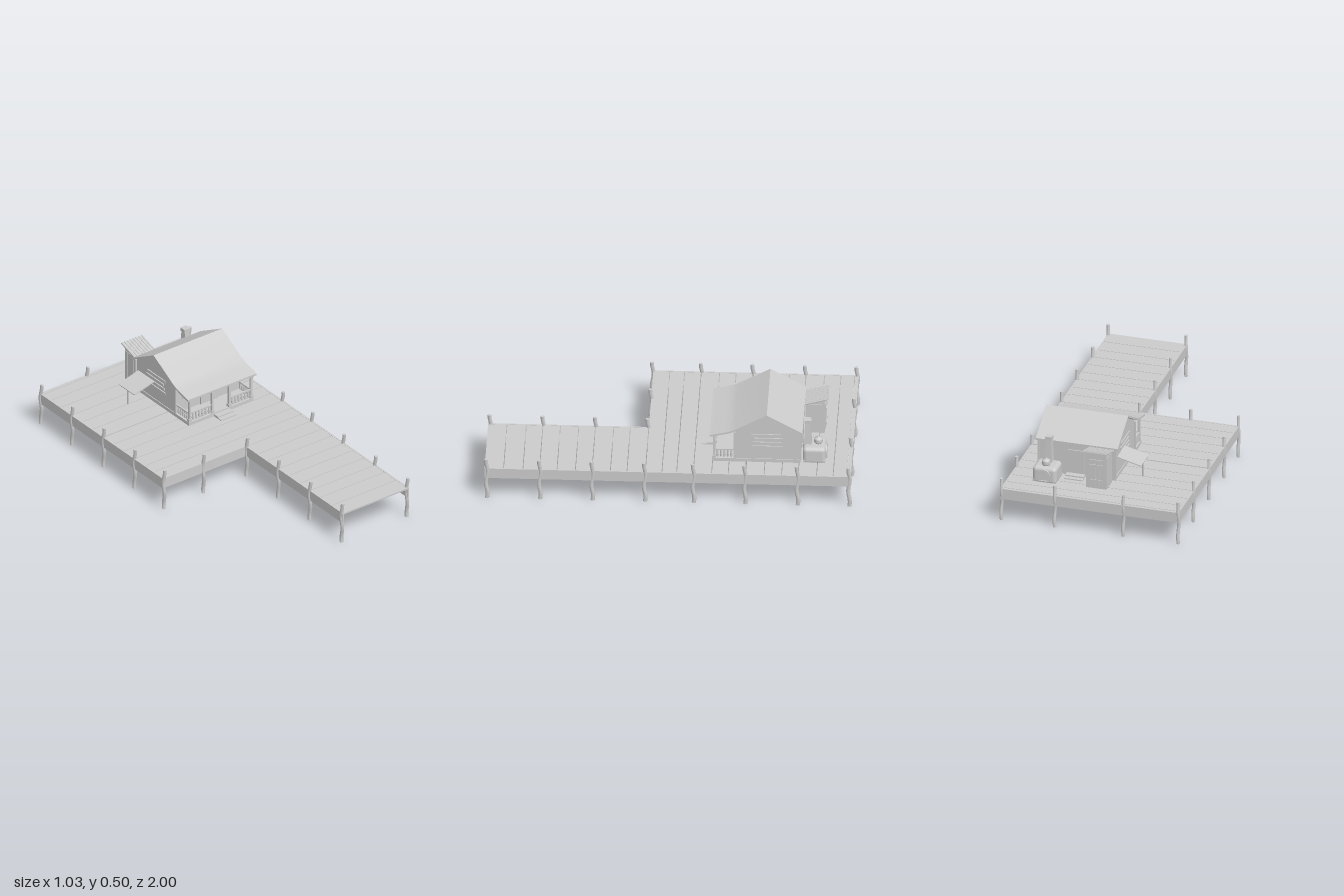
import * as THREE from 'three';
import { toCreasedNormals } from 'three/addons/utils/BufferGeometryUtils.js';
import { RoundedBoxGeometry } from 'three/addons/geometries/RoundedBoxGeometry.js';

const grey = new THREE.MeshStandardMaterial({ color: 0xcccccc, side: THREE.DoubleSide });
const DECK = 0.187;

function add(parent, name, geometry, x = 0, y = 0, z = 0) {
  const mesh = new THREE.Mesh(geometry, grey);
  mesh.name = name;
  mesh.position.set(x, y, z);
  parent.add(mesh);
  return mesh;
}

// Box given by its extents on each axis
function box(parent, name, x0, x1, y0, y1, z0, z1) {
  return add(parent, name, new THREE.BoxGeometry(x1 - x0, y1 - y0, z1 - z0),
    (x0 + x1) / 2, (y0 + y1) / 2, (z0 + z1) / 2);
}

// Extrude a [z, y] side profile from x0 to x1
function extrudeX(parent, name, profile, x0, x1) {
  const shape = new THREE.Shape(profile.map(([z, y]) => new THREE.Vector2(-z, y)));
  const g = new THREE.ExtrudeGeometry(shape, { depth: x1 - x0, bevelEnabled: false });
  g.rotateY(Math.PI / 2);
  return add(parent, name, toCreasedNormals(g, 0.45), x0, 0, 0);
}

function group(parent, name) {
  const g = new THREE.Group();
  g.name = name;
  parent.add(g);
  return g;
}

// Crooked mooring post: a cylinder bent along its height
function pileGeometry() {
  const g = new THREE.CylinderGeometry(0.009, 0.01, 0.245, 8, 10);
  g.translate(0, 0.1225, 0);
  const p = g.attributes.position;
  for (let i = 0; i < p.count; i++) {
    const t = p.getY(i) / 0.245;
    p.setX(i, p.getX(i) + 0.002 * Math.sin(t * 8));
    p.setZ(i, p.getZ(i) * 1.15 + 0.005 * Math.sin(t * 11 + 3.5));
  }
  g.computeVertexNormals();
  return g;
}

function buildDock(root) {
  const dock = group(root, 'dock');
  // Planks with narrow gaps; one wider gap on the main platform
  const planks = (x0, x1, edges) => {
    for (let i = 0; i < edges.length - 1; i++) {
      const gap = Math.abs(edges[i] + 0.425) < 0.001 ? 0.008 : 0.004;
      box(dock, 'plank', x0, x1, DECK - 0.009, DECK, edges[i] + gap, edges[i + 1]);
    }
  };
  planks(-0.5, 0.5, [-0.995, -0.975, -0.9, -0.81, -0.71, -0.62, -0.525, -0.425, -0.33, -0.24, -0.14, -0.05, 0.03, 0.12]);
  planks(0.06, 0.5, [0.12, 0.22, 0.31, 0.41, 0.5, 0.6, 0.695, 0.785, 0.89, 0.995]);
  // Skirt boards hang below every edge but the pier end
  const skirt = (x0, x1, z0, z1) => box(dock, 'skirtBoard', x0, x1, 0.127, DECK + 0.001, z0, z1);
  skirt(-0.507, 0.507, -0.995, -0.985);
  skirt(-0.507, -0.497, -0.995, 0.122);
  skirt(0.497, 0.507, -0.995, 0.995);
  skirt(-0.507, 0.066, 0.112, 0.122);
  skirt(0.056, 0.066, 0.112, 0.995);
  // Posts around the outline
  const geo = pileGeometry();
  const rows = [-0.985, -0.705, -0.42, -0.14, 0.125, 0.41, 0.695, 0.983];
  const spots = rows.map(z => [0.502, z]);
  rows.slice(0, 5).forEach(z => spots.push([-0.502, z]));
  rows.slice(4).forEach(z => spots.push([0.06, z]));
  spots.push([-0.19, -0.985], [0.2, -0.985], [-0.232, 0.122]);
  spots.forEach(([x, z]) => add(dock, 'dockPost', geo, x, 0, z));
}

function buildHouse(root) {
  const house = group(root, 'house');
  const L = -0.062, R = 0.375, front = -0.357, back = -0.716, floor = 0.207;
  box(house, 'floor', L, R, DECK, floor, back, -0.235);
  extrudeX(house, 'walls', [[front, floor - 0.01], [front, 0.385], [-0.533, 0.485], [back, 0.381], [back, floor - 0.01]], L + 0.004, R - 0.004);
  // Roof bends to a flatter slope over the porch
  const top = [[-0.223, 0.362], [-0.26, 0.37], [-0.3, 0.379], [-0.33, 0.387], [-0.357, 0.398], [-0.533, 0.497], [-0.727, 0.386]];
  extrudeX(house, 'roof', [...top, ...top.slice().reverse().map(([z, y]) => [z, y - 0.011])], -0.078, 0.388);

  // Porch posts, beam and railings
  [-0.05, 0.102, 0.219, 0.366].forEach(x => {
    box(house, 'porchPost', x - 0.006, x + 0.006, floor, 0.358, -0.251, -0.239);
    box(house, 'postFoot', x - 0.01, x + 0.01, floor, floor + 0.016, -0.255, -0.236);
    box(house, 'postCap', x - 0.009, x + 0.009, 0.344, 0.354, -0.254, -0.236);
  });
  box(house, 'porchBeam', L, R, 0.35, 0.359, -0.251, -0.239);
  const baluster = new THREE.LatheGeometry([[0.004, 0], [0.007, 0.012], [0.004, 0.025], [0.006, 0.036], [0.004, 0.045]]
    .map(([r, y]) => new THREE.Vector2(r, y)), 8);
  [[-0.05, 0.102], [0.219, 0.366]].forEach(([a, b]) => {
    box(house, 'handRail', a, b, 0.255, 0.262, -0.249, -0.241);
    box(house, 'footRail', a, b, 0.211, 0.216, -0.248, -0.242);
    for (let i = 1; i < 7; i++) add(house, 'baluster', baluster, a + (b - a) * i / 7, 0.212, -0.245);
  });
  [L + 0.01, R - 0.01].forEach(x => {
    box(house, 'sideRail', x - 0.004, x + 0.004, 0.255, 0.262, front, -0.245);
    for (let i = 1; i < 6; i++) add(house, 'baluster', baluster, x, 0.212, -0.245 - i * 0.019);
  });

  // Door and corner trim
  box(house, 'door', 0.112, 0.208, floor, 0.35, front, front + 0.006);
  [[0.104, 0.112], [0.208, 0.216]].forEach(([a, b]) => box(house, 'doorFrame', a, b, floor, 0.357, front, front + 0.009));
  box(house, 'doorLintel', 0.104, 0.216, 0.35, 0.358, front, front + 0.009);
  add(house, 'doorKnob', new THREE.SphereGeometry(0.005, 10, 8), 0.122, 0.28, front + 0.009);
  [L, R].forEach(x => [front, back].forEach(z =>
    box(house, 'cornerTrim', x - 0.005, x + 0.005, floor, 0.378, z - 0.005, z + 0.005)));
  box(house, 'backDoor', 0.112, 0.208, floor, 0.34, back - 0.006, back);

  // Shuttered front windows made of slats
  [[-0.018, 0.066], [0.248, 0.336]].forEach(([a, b]) => {
    for (let i = 0; i < 5; i++) box(house, 'windowSlat', a, b, 0.289 + i * 0.01, 0.297 + i * 0.01, front, front + 0.004);
  });
  // Boarded side windows
  [R - 0.004, L - 0.002].forEach(x => [0.278, 0.303, 0.328, 0.353].forEach((y, i) =>
    box(house, 'windowBoard', x, x + 0.006, y, y + 0.013, -0.62 + (i % 2) * 0.01, -0.45 - (i % 3) * 0.008)));

  // Steps at front and back
  box(house, 'frontStep', 0.108, 0.213, DECK, 0.2, -0.235, -0.2);
  box(house, 'frontLowStep', 0.108, 0.213, DECK, 0.193, -0.2, -0.17);
  box(house, 'backStep', 0.108, 0.213, DECK, 0.2, -0.75, back);
  box(house, 'backLowStep', 0.108, 0.213, DECK, 0.193, -0.776, -0.75);

  // Side awning on a single pole
  const s = new THREE.Shape();
  s.moveTo(0, -0.072);
  s.lineTo(-0.13, -0.072);
  s.quadraticCurveTo(-0.141, -0.072, -0.141, -0.06);
  s.lineTo(-0.141, 0.06);
  s.quadraticCurveTo(-0.141, 0.072, -0.13, 0.072);
  s.lineTo(0, 0.072);
  const awning = add(house, 'awning', new THREE.ExtrudeGeometry(s, { depth: 0.006, bevelEnabled: false }).rotateX(-Math.PI / 2), -0.062, 0.315, -0.618);
  awning.rotation.z = 0.26;
  add(house, 'awningPole', new THREE.CylinderGeometry(0.005, 0.005, 0.1, 8), -0.188, DECK + 0.05, -0.618);
}

function buildShed(root) {
  const shed = group(root, 'shed');
  extrudeX(shed, 'shedWalls', [[-0.73, DECK], [-0.73, 0.368], [-0.835, 0.4], [-0.835, DECK]], -0.045, 0.068);
  // Ribbed roof rising to the rear
  const roof = group(shed, 'shedRoof');
  roof.position.set(0.012, 0.392, -0.789);
  roof.rotation.x = 0.28;
  box(roof, 'roofSheet', -0.07, 0.07, -0.004, 0.002, -0.066, 0.066);
  for (let i = 0; i < 8; i++) {
    const x = -0.066 + i * 0.0189;
    add(roof, 'roofRib', new THREE.CylinderGeometry(0.005, 0.005, 0.132, 8).rotateX(Math.PI / 2), x, 0.001, 0);
  }
  // Plank door at the rear and cladding boards on the sides
  for (let i = 0; i < 4; i++) box(shed, 'doorPlank', -0.026 + i * 0.019, -0.009 + i * 0.019, 0.2, 0.36, -0.84, -0.834);
  [0.23, 0.32].forEach(y => box(shed, 'doorBrace', -0.026, 0.048, y, y + 0.012, -0.844, -0.838));
  [-0.045, 0.068].forEach(x => {
    for (let i = 0; i < 4; i++) box(shed, 'sideBoard', x - 0.003, x + 0.003, DECK, 0.37, -0.83 + i * 0.025, -0.808 + i * 0.025);
  });
}

function buildOven(root) {
  const oven = group(root, 'oven');
  const x = 0.303;
  add(oven, 'ovenBody', new RoundedBoxGeometry(0.136, 0.1, 0.124, 4, 0.022), x, 0.226, -0.789);
  box(oven, 'ovenBase', x - 0.066, x + 0.066, DECK, 0.2, -0.849, -0.728);
  // Firebox mouth: a frame around a recessed opening
  const arch = new THREE.Shape();
  arch.moveTo(-0.036, 0);
  arch.lineTo(0.036, 0);
  arch.lineTo(0.036, 0.03);
  arch.absarc(0, 0.03, 0.036, 0, Math.PI);
  const hole = new THREE.Path();
  hole.moveTo(-0.026, 0);
  hole.lineTo(0.026, 0);
  hole.lineTo(0.026, 0.03);
  hole.absarc(0, 0.03, 0.026, 0, Math.PI);
  arch.holes.push(hole);
  add(oven, 'fireboxFrame', new THREE.ExtrudeGeometry(arch, { depth: 0.01, bevelEnabled: false }), x, 0.2, -0.86);
  // Tapered chimney with a cap
  const flue = new THREE.CylinderGeometry(0.021, 0.031, 0.16, 4, 1).rotateY(Math.PI / 4);
  add(oven, 'chimney', toCreasedNormals(flue, 0.5), x, 0.335, -0.753);
  box(oven, 'chimneyCap', x - 0.019, x + 0.019, 0.405, 0.425, -0.772, -0.734);
  // Cooking pot on the stove top
  const pot = [[0, 0], [0.018, 0], [0.025, 0.012], [0.02, 0.026], [0.023, 0.03], [0.012, 0.036], [0.004, 0.038], [0.005, 0.044], [0, 0.046]];
  add(oven, 'pot', new THREE.LatheGeometry(pot.map(([r, y]) => new THREE.Vector2(r, y)), 20), x, 0.274, -0.81);
}

export function createModel() {
  const root = new THREE.Group();
  root.name = 'dockHouse';
  buildDock(root);
  buildHouse(root);
  buildShed(root);
  buildOven(root);
  return root;
}
